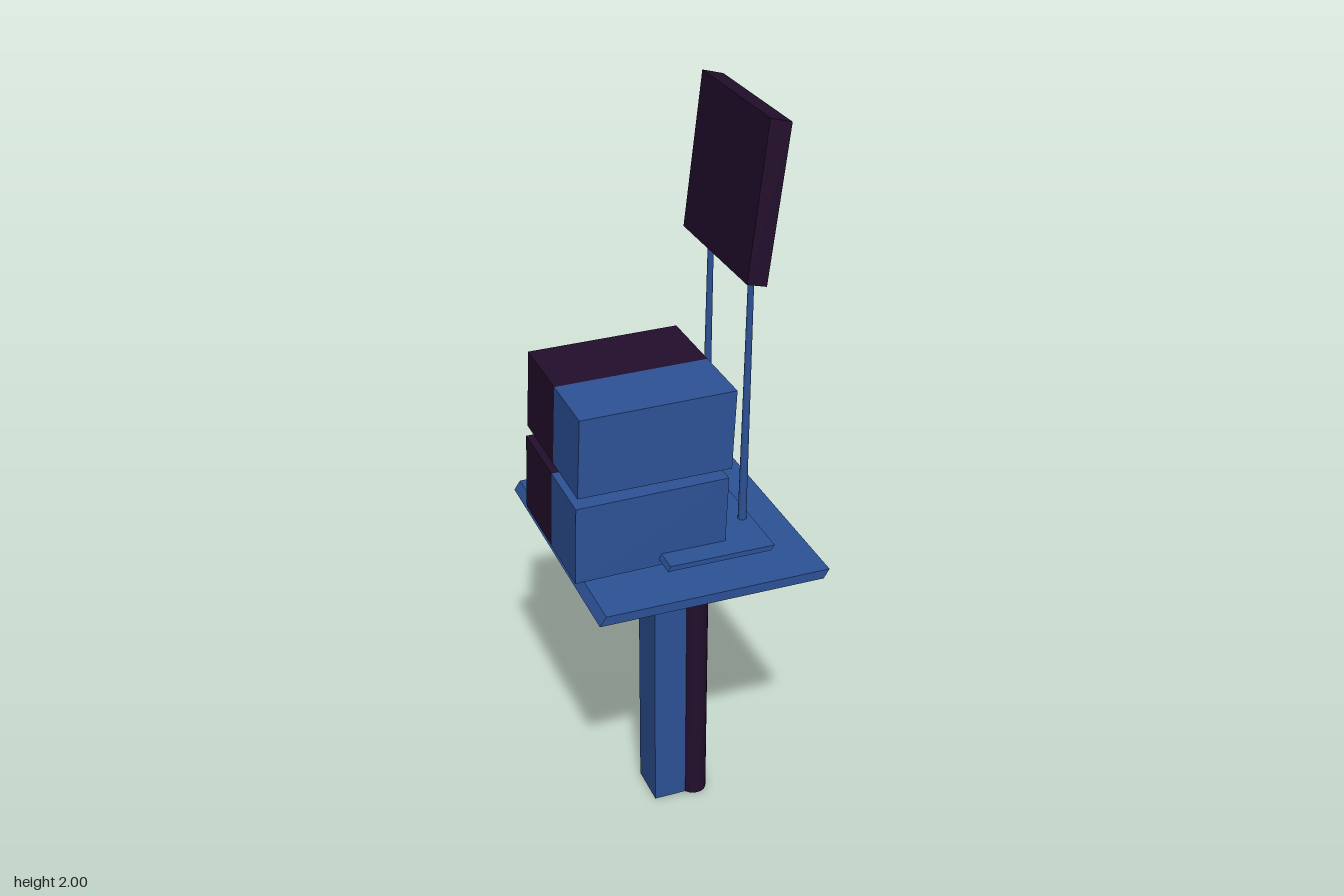
import * as THREE from 'three';

const blue = new THREE.MeshStandardMaterial({ color: 0x2d5297, name: 'blue' });
const plum = new THREE.MeshStandardMaterial({ color: 0x230e2c, name: 'dark plum' });
const ochre = new THREE.MeshStandardMaterial({ color: 0xae7e3c, name: 'ochre' });

function add(parent, name, geometry, material) {
  const mesh = new THREE.Mesh(geometry, material);
  mesh.name = name;
  parent.add(mesh);
  return mesh;
}

// Slanted block: an outline in x and y, swept from z0 to z1
function prism(points, z0, z1) {
  const shape = new THREE.Shape(points.map(([x, y]) => new THREE.Vector2(x, y)));
  const geometry = new THREE.ExtrudeGeometry(shape, { depth: z1 - z0, bevelEnabled: false });
  return geometry.translate(0, 0, z0);
}

// Upright tube with a domed top
function domedTube(radius, height) {
  const points = [new THREE.Vector2(radius, 0)];
  for (let i = 0; i <= 6; i++) {
    const a = (i / 6) * Math.PI / 2;
    points.push(new THREE.Vector2(radius * Math.cos(a), height - radius + radius * Math.sin(a)));
  }
  return new THREE.LatheGeometry(points, 20);
}

// Thin rounded square
function roundedPlate(w, h, r, depth) {
  const s = new THREE.Shape();
  const x = w / 2, y = h / 2;
  s.absarc(x - r, y - r, r, 0, Math.PI / 2);
  s.absarc(-x + r, y - r, r, Math.PI / 2, Math.PI);
  s.absarc(-x + r, -y + r, r, Math.PI, Math.PI * 1.5);
  s.absarc(x - r, -y + r, r, Math.PI * 1.5, Math.PI * 2);
  return new THREE.ExtrudeGeometry(s, { depth, bevelEnabled: false, curveSegments: 4 });
}

export function createModel() {
  const model = new THREE.Group();
  model.name = 'signStand';

  // Post and the two tubes beside it
  add(model, 'post', new THREE.BoxGeometry(0.104, 0.885, 0.122), blue).position.set(0.004, 0.4425, 0);
  for (const [name, height, z] of [['tallTube', 0.835, 0.041], ['shortTube', 0.575, -0.034]]) {
    const tube = add(model, name, domedTube(0.037, height), plum);
    tube.position.set(0.074, 0, z);
    const base = add(tube, name + 'Base', new THREE.CircleGeometry(0.037, 20), plum);
    base.rotation.x = Math.PI / 2;
  }

  // Table top and the plate that carries the sign poles
  add(model, 'platform', prism([[-0.302, 0.845], [0.297, 0.845], [0.312, 0.87], [-0.285, 0.87]], -0.355, 0.355), blue);
  add(model, 'signBase', prism([[-0.09, 0.9], [0.19, 0.9], [0.2, 0.914], [-0.083, 0.914]], -0.22, 0.265), blue);

  // Two stacked boxes, each half blue and half plum
  const boxes = {
    lowerBox: [[-0.312, 0.878], [0.09, 0.885], [0.098, 1.096], [-0.305, 1.09]],
    upperBox: [[-0.3, 1.119], [0.105, 1.122], [0.115, 1.336], [-0.29, 1.33]],
  };
  for (const [name, outline] of Object.entries(boxes)) {
    add(model, name + 'BlueHalf', prism(outline, 0.01, 0.201), blue);
    add(model, name + 'DarkHalf', prism(outline, -0.204, 0.01), plum);
  }

  // Tapered poles
  for (const z of [0.113, -0.14]) {
    const pole = add(model, 'signPole', new THREE.CylinderGeometry(0.008, 0.012, 0.72, 8), blue);
    pole.position.set(0.179, 1.265, z);
    pole.rotation.z = -0.011;
  }

  // Tilted sign with its inset face
  add(model, 'signFrame', prism([[0.143, 1.6], [0.195, 1.587], [0.246, 1.985], [0.19, 2.0]], -0.227, 0.178), plum);
  const face = add(model, 'signFace', roundedPlate(0.334, 0.338, 0.016, 0.004), ochre);
  face.rotation.set(0, Math.PI / 2, -0.128, 'ZYX');
  face.position.set(0.219, 1.782, -0.022);

  return model;
}
